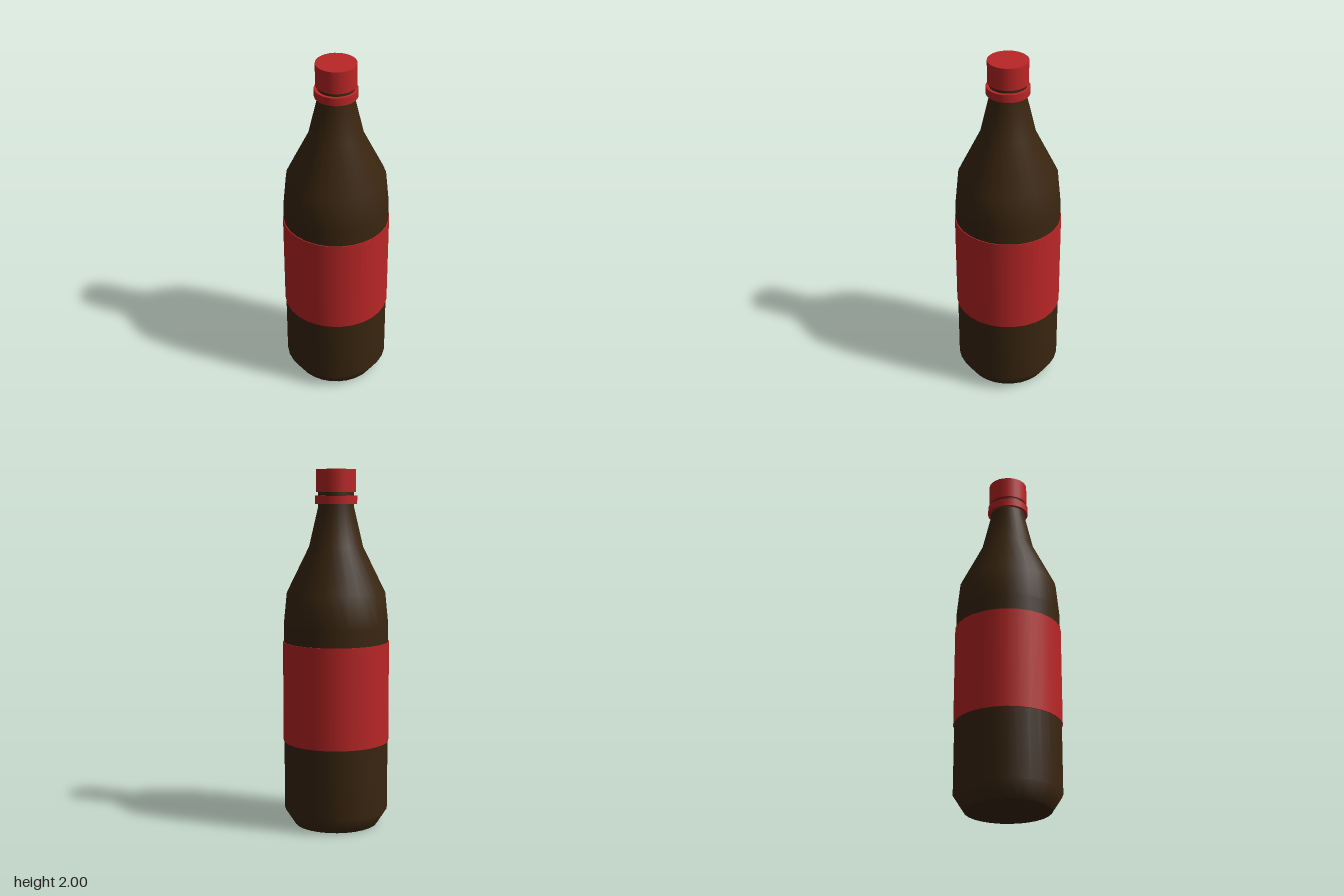
import * as THREE from 'three';

const SIDES = 28;

export function createModel() {
  const model = new THREE.Group();
  const glass = new THREE.MeshStandardMaterial({ color: 0x3a2610 });
  glass.name = 'brown glass';
  const red = new THREE.MeshStandardMaterial({ color: 0xbb2626 });
  red.name = 'red';

  const add = (name, geometry, material, y = 0) => {
    const mesh = new THREE.Mesh(geometry, material);
    mesh.name = name;
    mesh.position.y = y;
    model.add(mesh);
    return mesh;
  };

  // Solid band standing between two heights
  const band = (name, radius, bottom, top) =>
    add(name, new THREE.CylinderGeometry(radius, radius, top - bottom, SIDES), red, (bottom + top) / 2);

  // Glass wall: bevelled foot, straight body, shoulder and neck
  const profile = [
    [0.235, 0], [0.293, 0.09], [0.293, 1.14], [0.275, 1.32],
    [0.15, 1.575], [0.1, 1.79], [0.1, 1.9],
  ].map(([r, y]) => new THREE.Vector2(r, y));
  const wall = new THREE.LatheGeometry(profile, SIDES);
  wall.normalizeNormals();
  add('bottleBody', wall, glass);

  // Flat underside
  const base = new THREE.CircleGeometry(0.235, SIDES);
  base.rotateX(Math.PI / 2);
  add('bottleBase', base, glass);

  // Wrapped label, neck ring and screw cap
  band('label', 0.298, 0.48, 1.045);
  band('neckRing', 0.117, 1.81, 1.855);
  band('cap', 0.11, 1.875, 2);

  return model;
}
